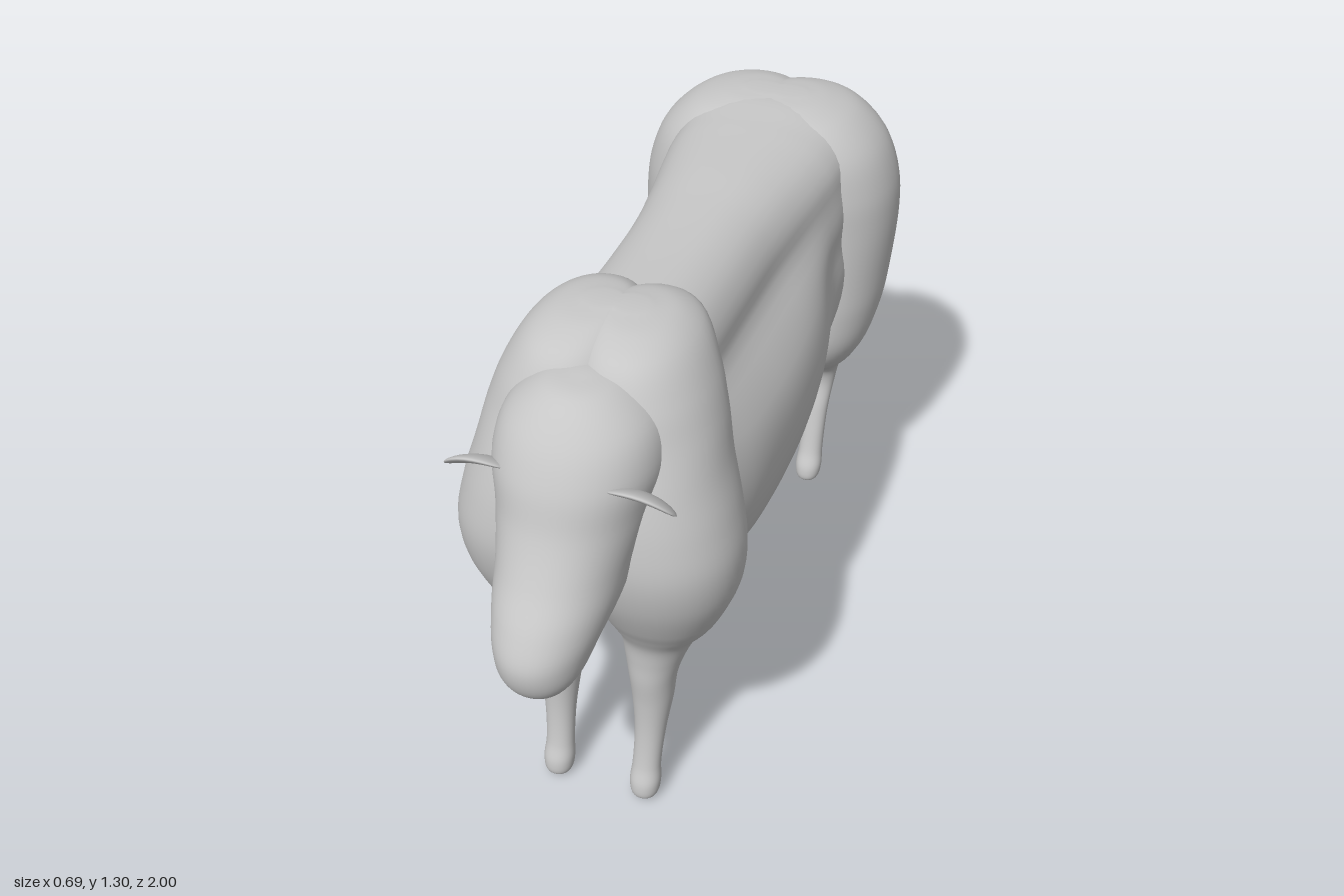
import * as THREE from 'three';

const hide = new THREE.MeshStandardMaterial({ color: 0xc6c6c6 });
hide.name = 'hide grey';

// Smooth closed skin through a list of rings that all have the same point count
function loft(rings, steps = 6) {
  const n = rings[0].length;
  const rows = (rings.length - 1) * steps;
  const pos = [];
  const index = [];
  const columns = rings[0].map((_, j) => new THREE.CatmullRomCurve3(rings.map((r) => r[j])));
  for (let i = 0; i <= rows; i++) {
    for (let j = 0; j < n; j++) pos.push(...columns[j].getPoint(i / rows).toArray());
  }
  for (let i = 0; i < rows; i++) {
    for (let j = 0; j < n; j++) {
      const a = i * n + j;
      const b = i * n + ((j + 1) % n);
      index.push(a, b, a + n, b, b + n, a + n);
    }
  }
  // end caps
  const centre = (ring) => ring.reduce((s, p) => s.add(p), new THREE.Vector3()).divideScalar(n);
  const first = pos.length / 3;
  pos.push(...centre(rings[0]).toArray(), ...centre(rings[rings.length - 1]).toArray());
  for (let j = 0; j < n; j++) {
    const k = (j + 1) % n;
    index.push(first, k, j, first + 1, rows * n + j, rows * n + k);
  }
  const geo = new THREE.BufferGeometry();
  geo.setAttribute('position', new THREE.Float32BufferAttribute(pos, 3));
  geo.setIndex(index);
  geo.computeVertexNormals();
  return geo;
}

// Stack of level oval sections, top to bottom: [x, y, z, radiusX, radiusZ]
function stack(sections, side = 1, power = 2, n = 48) {
  const bend = (v) => Math.sign(v) * Math.abs(v) ** (2 / power);
  return loft(sections.map(([x, y, z, rx, rz]) => Array.from({ length: n }, (_, j) => {
    const t = (j / n) * Math.PI * 2;
    return new THREE.Vector3(side * x + rx * bend(Math.cos(t)), y, z + rz * bend(Math.sin(t)));
  })));
}

// Barrel cross-section: a narrow rounded back over a wide belly
function barrelRing([z, bottom, top, belly, back]) {
  const half = [
    [0, 1], [back * 0.4, 0.99], [back * 0.74, 0.945], [back * 0.94, 0.87], [back, 0.78],
    [(belly + back) / 2, 0.68], [belly * 0.95, 0.58], [belly, 0.45], [belly * 0.96, 0.31],
    [belly * 0.8, 0.15], [belly * 0.45, 0.03], [0, 0],
  ].map(([x, f]) => new THREE.Vector3(x, bottom + f * (top - bottom), z));
  const mirrored = half.slice(1, -1).reverse().map((p) => new THREE.Vector3(-p.x, p.y, z));
  const curve = new THREE.CatmullRomCurve3([...half, ...mirrored], true);
  return Array.from({ length: 66 }, (_, j) => curve.getPoint(j / 66));
}

export function createModel() {
  const model = new THREE.Group();
  model.name = 'cow';
  const add = (name, geo) => {
    const mesh = new THREE.Mesh(geo, hide);
    mesh.name = name;
    model.add(mesh);
    return mesh;
  };

  // Barrel: [z, bottom, top, belly half-width, back half-width]
  add('barrel', loft([
    [0.45, 0.5, 1.26, 0.25, 0.18],
    [0.3, 0.458, 1.26, 0.29, 0.185],
    [0.1, 0.438, 1.262, 0.302, 0.185],
    [-0.1, 0.44, 1.27, 0.3, 0.19],
    [-0.25, 0.47, 1.28, 0.288, 0.205],
    [-0.4, 0.54, 1.288, 0.262, 0.225],
    [-0.5, 0.58, 1.294, 0.26, 0.235],
    [-0.65, 0.65, 1.3, 0.25, 0.23],
    [-0.79, 0.78, 1.26, 0.18, 0.16],
  ].map(barrelRing)));

  // Head, poll to muzzle
  add('head', stack([
    [0, 1.245, 0.6, 0.02, 0.02],
    [0, 1.23, 0.605, 0.09, 0.1],
    [0, 1.165, 0.615, 0.165, 0.165],
    [0, 1.08, 0.63, 0.188, 0.2],
    [0, 0.98, 0.66, 0.17, 0.203],
    [0, 0.88, 0.72, 0.148, 0.195],
    [0, 0.8, 0.78, 0.134, 0.19],
    [0, 0.73, 0.85, 0.112, 0.15],
    [0, 0.67, 0.892, 0.09, 0.1],
    [0, 0.63, 0.905, 0.058, 0.06],
    [0, 0.612, 0.905, 0.02, 0.02],
  ], 1, 2.1));

  // Tail, swelling a little at the tip
  add('tail', stack([
    [0, 1.23, -0.83, 0.02, 0.02],
    [0, 1.18, -0.858, 0.05, 0.042],
    [0, 1.0, -0.876, 0.047, 0.039],
    [0, 0.8, -0.902, 0.039, 0.035],
    [0, 0.6, -0.932, 0.031, 0.028],
    [0, 0.4, -0.96, 0.024, 0.02],
    [0, 0.3, -0.973, 0.015, 0.014],
    [0, 0.235, -0.979, 0.022, 0.021],
    [0, 0.21, -0.98, 0.018, 0.017],
    [0, 0.2, -0.98, 0.004, 0.004],
  ], 1, 2, 20));

  for (const [side, label] of [[1, 'left'], [-1, 'right']]) {
    // Half of the withers and shoulder, running down into the foreleg
    add(`${label}Forequarter`, stack([
      [0.03, 1.304, 0.42, 0.04, 0.03],
      [0.055, 1.29, 0.425, 0.085, 0.11],
      [0.068, 1.255, 0.435, 0.122, 0.17],
      [0.075, 1.18, 0.465, 0.16, 0.187],
      [0.08, 1.1, 0.49, 0.184, 0.19],
      [0.098, 1.0, 0.52, 0.19, 0.195],
      [0.118, 0.9, 0.54, 0.198, 0.195],
      [0.132, 0.8, 0.55, 0.202, 0.19],
      [0.138, 0.7, 0.543, 0.188, 0.177],
      [0.14, 0.6, 0.53, 0.149, 0.148],
      [0.137, 0.55, 0.522, 0.126, 0.128],
      [0.13, 0.5, 0.518, 0.095, 0.108],
      [0.123, 0.44, 0.535, 0.073, 0.083],
      [0.12, 0.38, 0.55, 0.058, 0.066],
      [0.12, 0.3, 0.555, 0.049, 0.054],
      [0.118, 0.2, 0.572, 0.038, 0.038],
      [0.115, 0.1, 0.592, 0.035, 0.033],
      [0.115, 0.05, 0.603, 0.038, 0.039],
      [0.115, 0.015, 0.607, 0.031, 0.033],
      [0.115, 0, 0.607, 0.008, 0.008],
    ], side, 2.12));

    // Half of the rump, thigh, hock and hoof
    add(`${label}Hindquarter`, stack([
      [0.03, 1.305, -0.68, 0.05, 0.03],
      [0.055, 1.296, -0.68, 0.09, 0.1],
      [0.078, 1.268, -0.68, 0.145, 0.165],
      [0.1, 1.2, -0.68, 0.195, 0.203],
      [0.12, 1.1, -0.68, 0.215, 0.216],
      [0.13, 1.0, -0.675, 0.215, 0.214],
      [0.15, 0.85, -0.66, 0.187, 0.203],
      [0.16, 0.75, -0.645, 0.166, 0.19],
      [0.157, 0.65, -0.628, 0.144, 0.166],
      [0.148, 0.58, -0.645, 0.12, 0.152],
      [0.138, 0.51, -0.705, 0.092, 0.115],
      [0.13, 0.44, -0.775, 0.068, 0.076],
      [0.125, 0.38, -0.823, 0.05, 0.049],
      [0.122, 0.33, -0.824, 0.044, 0.038],
      [0.12, 0.25, -0.8, 0.038, 0.032],
      [0.12, 0.18, -0.785, 0.035, 0.032],
      [0.12, 0.1, -0.768, 0.035, 0.034],
      [0.12, 0.05, -0.753, 0.038, 0.039],
      [0.12, 0.015, -0.748, 0.03, 0.033],
      [0.12, 0, -0.748, 0.008, 0.008],
    ], side, 2.12));

    // Ear: thin drooping leaf, front edge raised
    const leaf = new THREE.SphereGeometry(1, 24, 16);
    const p = leaf.attributes.position;
    for (let i = 0; i < p.count; i++) {
      const x = p.getX(i);
      p.setXYZ(i, x * 0.077, p.getY(i) * 0.01 - x * x * 0.014, p.getZ(i) * 0.046);
    }
    leaf.computeVertexNormals();
    const ear = add(`${label}Ear`, leaf);
    ear.position.set(side * 0.187, 1.072, 0.76);
    ear.rotation.set(-0.55, side * 0.2, -side * 0.14);
  }
  return model;
}
